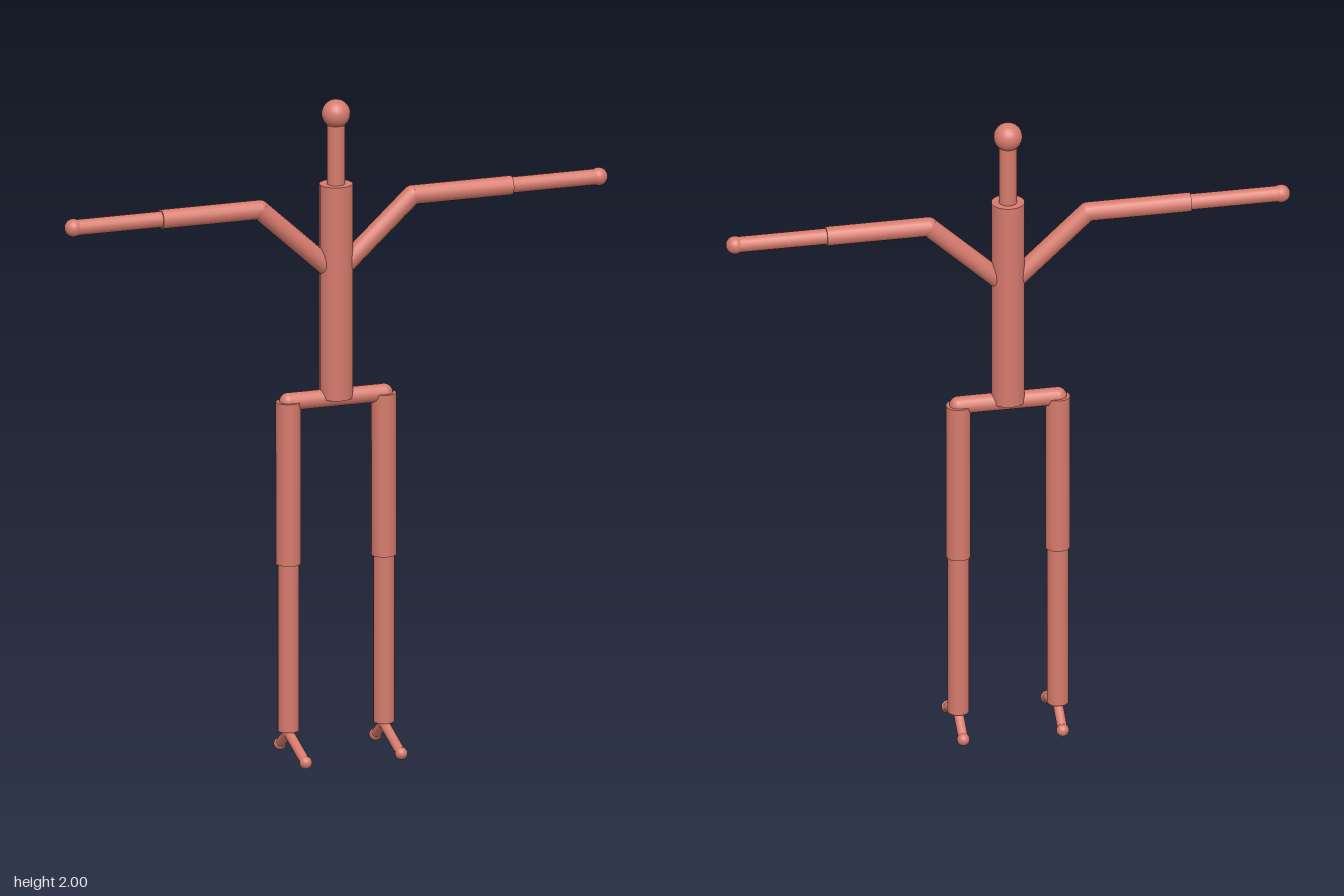
import * as THREE from 'three';

export function createModel() {
  const model = new THREE.Group();
  model.name = 'stickFigure';
  const skin = new THREE.MeshStandardMaterial({ color: 0xd67a6c });
  skin.name = 'salmon';
  const Z = -0.04; // plane of the body
  const v = (x, y, z = Z) => new THREE.Vector3(x, y, z);
  const up = new THREE.Vector3(0, 1, 0);

  // Capped rod between two points
  function rod(name, a, b, r) {
    const dir = b.clone().sub(a);
    const mesh = new THREE.Mesh(new THREE.CylinderGeometry(r, r, dir.length(), 16), skin);
    mesh.position.copy(a).add(b).multiplyScalar(0.5);
    mesh.quaternion.setFromUnitVectors(up, dir.normalize());
    mesh.name = name;
    model.add(mesh);
  }

  // Round joint
  function ball(name, p, r) {
    const mesh = new THREE.Mesh(new THREE.SphereGeometry(r, 20, 14), skin);
    mesh.position.copy(p);
    mesh.name = name;
    model.add(mesh);
  }

  // Head, neck, torso and pelvis
  ball('head', v(0, 1.957), 0.043);
  rod('neck', v(0, 1.74), v(0, 1.95), 0.027);
  rod('torso', v(0, 1.087), v(0, 1.742), 0.05);
  rod('pelvis', v(-0.15, 1.087), v(0.15, 1.087), 0.027);

  for (const [side, s] of [['left', 1], ['right', -1]]) {
    // Arm
    const shoulder = v(0.24 * s, 1.685);
    const elbow = v(0.55 * s, 1.685);
    const hand = v(0.825 * s, 1.685);
    rod(side + 'Collar', v(0, 1.465), shoulder, 0.029);
    ball(side + 'Shoulder', shoulder, 0.029);
    rod(side + 'UpperArm', shoulder, elbow, 0.029);
    rod(side + 'Forearm', elbow, hand, 0.024);
    ball(side + 'Hand', hand, 0.027);

    // Leg
    const hip = v(0.15 * s, 1.087);
    const knee = v(0.15 * s, 0.59);
    const ankle = v(0.15 * s, 0.078);
    ball(side + 'Hip', hip, 0.027);
    rod(side + 'Thigh', hip, knee, 0.037);
    rod(side + 'Shin', knee, ankle, 0.032);

    // Foot
    const toe = v(0.15 * s, 0.019, 0.112);
    const heel = v(0.15 * s, 0.019, -0.112);
    const instep = v(0.15 * s, 0.073);
    ball(side + 'Ankle', instep, 0.018);
    rod(side + 'Foot', instep, toe, 0.015);
    ball(side + 'Toe', toe, 0.019);
    rod(side + 'HeelBone', instep, heel, 0.015);
    ball(side + 'Heel', heel, 0.019);
  }
  return model;
}
